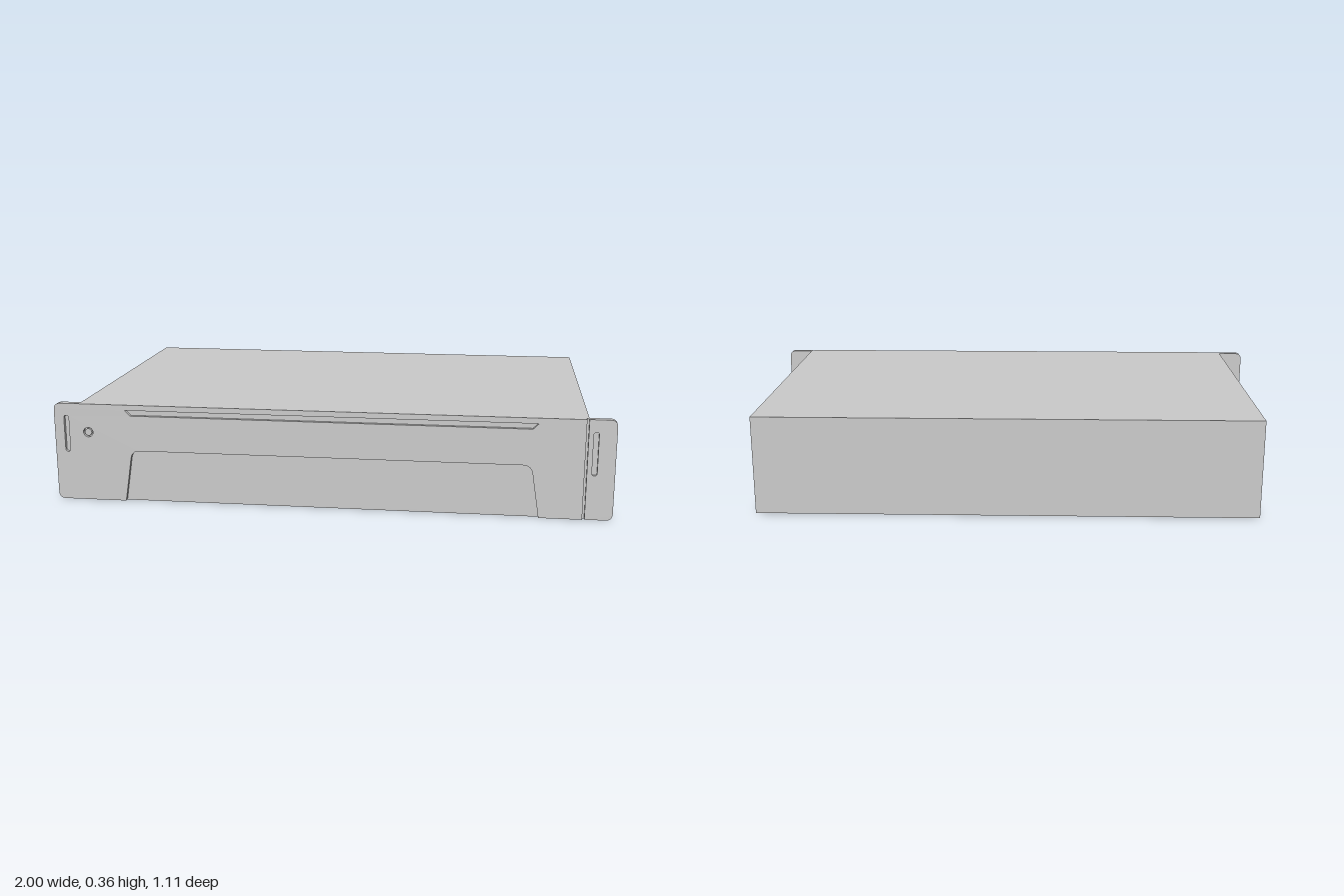
import * as THREE from 'three';

const H = 0.36, R = 0.025;
const BACK = 0.53, STEP = 0.542, FRONT = 0.555;

// Closed path through points given as [x, y, cornerRadius]
function roundedPoly(points, Type = THREE.Shape) {
  const path = new Type();
  const n = points.length;
  points.forEach(([x, y, r = 0], i) => {
    const p = new THREE.Vector2(x, y);
    const toward = (q) => new THREE.Vector2(q[0], q[1]).sub(p).normalize().multiplyScalar(r).add(p);
    const a = toward(points[(i + n - 1) % n]);
    const b = toward(points[(i + 1) % n]);
    if (i === 0) path.moveTo(a.x, a.y);
    else path.lineTo(a.x, a.y);
    if (r > 0) path.quadraticCurveTo(x, y, b.x, b.y);
  });
  path.closePath();
  return path;
}

// Upright pill-shaped opening
function pill(x, y0, y1, w) {
  const r = w / 2;
  return roundedPoly([[x - r, y0, r], [x + r, y0, r], [x + r, y1, r], [x - r, y1, r]], THREE.Path);
}

export function createModel() {
  const group = new THREE.Group();
  const material = new THREE.MeshStandardMaterial({ color: 0xcccccc });

  const add = (name, geometry) => {
    const mesh = new THREE.Mesh(geometry, material);
    mesh.name = name;
    group.add(mesh);
    return mesh;
  };
  const plate = (name, shape, z0, z1) => {
    const geometry = new THREE.ExtrudeGeometry(shape, { depth: z1 - z0, bevelEnabled: false, curveSegments: 8 });
    add(name, geometry.translate(0, 0, z0));
  };

  // Chassis box
  add('chassis', new THREE.BoxGeometry(1.81, H, BACK + 0.555).translate(0, H / 2, (BACK - 0.555) / 2));

  // Backing layer of the front panel, with mounting ears
  plate('panelBacking', roundedPoly([[-1, 0, R], [1, 0, R], [1, H, R], [-1, H, R]]), BACK, STEP);

  // Front layer: bay cut from the bottom edge, vent slot, ear slot and button ring
  const face = roundedPoly([
    [-1, 0, R], [-0.745, 0], [-0.715, 0.19, 0.03], [0.715, 0.19, 0.03], [0.745, 0],
    [0.896, 0], [0.896, H], [-1, H, R],
  ]);
  const button = new THREE.Path();
  button.absarc(-0.875, 0.255, 0.018, 0, Math.PI * 2, true);
  face.holes.push(
    roundedPoly([[-0.735, 0.34], [0.735, 0.34], [0.715, 0.32], [-0.715, 0.32]], THREE.Path),
    pill(-0.955, 0.18, 0.315, 0.018),
    button,
  );
  plate('frontFace', face, STEP, FRONT);

  // Right ear cover, separated by a narrow seam
  const ear = roundedPoly([[0.904, 0], [1, 0, R], [1, H, R], [0.904, H]]);
  ear.holes.push(pill(0.93, 0.16, 0.315, 0.018));
  plate('earCover', ear, STEP, FRONT - 0.002);

  // Power button inside its ring
  const cap = new THREE.CylinderGeometry(0.013, 0.013, 0.012, 24).rotateX(Math.PI / 2);
  add('powerButton', cap).position.set(-0.875, 0.255, STEP + 0.006);

  return group;
}
